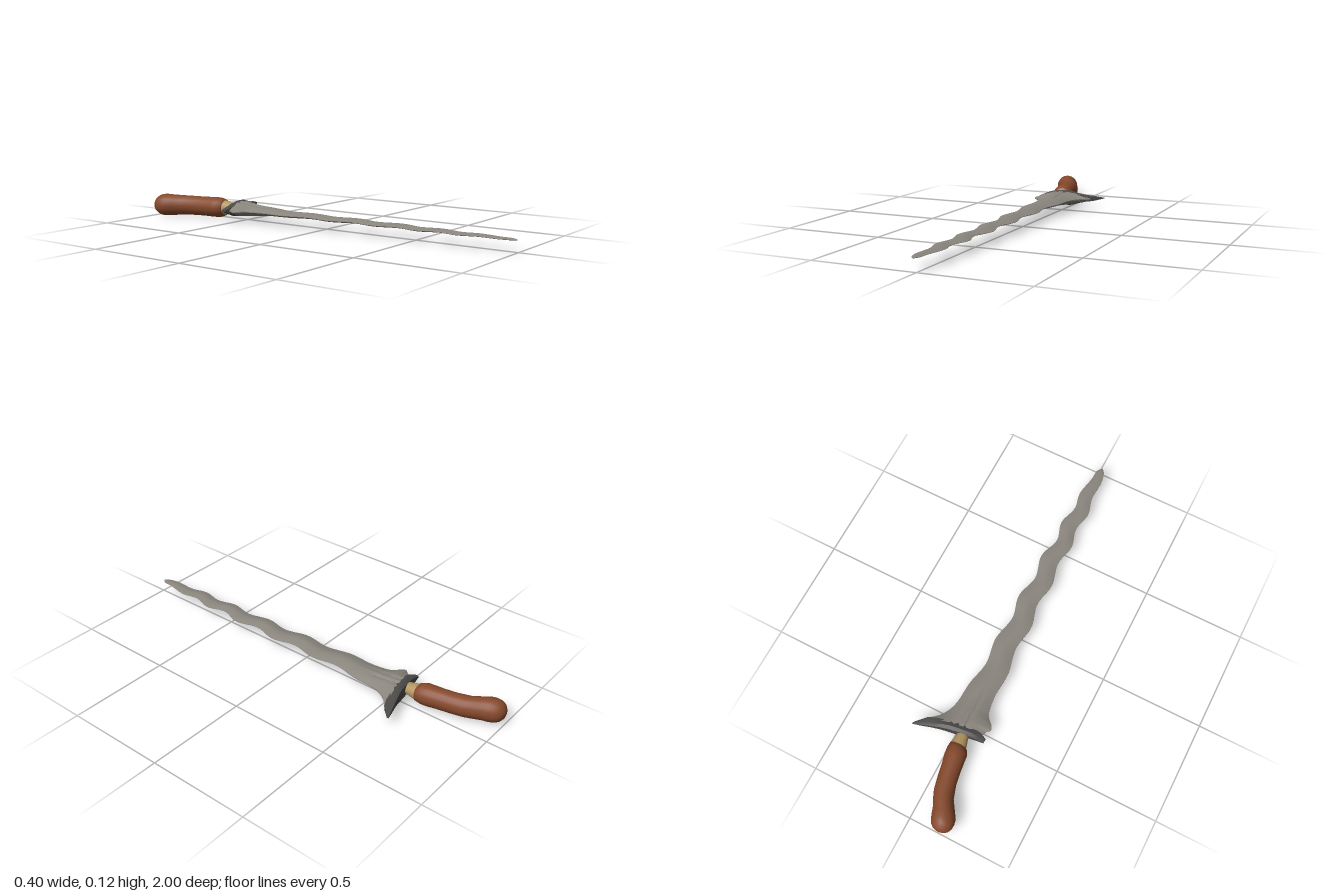
import * as THREE from 'three';
import { toCreasedNormals } from 'three/addons/utils/BufferGeometryUtils.js';

const MID = 0.0575; // height of the flat middle plane

const mat = (name, color, side = THREE.FrontSide) => {
  const m = new THREE.MeshStandardMaterial({ color, side });
  m.name = name;
  return m;
};

// Skins a list of equal-length rings of [x, y, z] and caps both ends
function loft(rings, crease) {
  const n = rings[0].length, pos = rings.flat(2), idx = [];
  for (let i = 0; i < rings.length - 1; i++) {
    for (let j = 0; j < n; j++) {
      const a = i * n + j, b = i * n + (j + 1) % n;
      idx.push(a, b, a + n, b, b + n, a + n);
    }
  }
  [0, rings.length - 1].forEach((r, end) => {
    const c = pos.length / 3;
    for (let k = 0; k < 3; k++) pos.push(rings[r].reduce((s, p) => s + p[k], 0) / n);
    for (let j = 0; j < n; j++) {
      const a = r * n + j, b = r * n + (j + 1) % n;
      if (end) idx.push(c, a, b);
      else idx.push(c, b, a);
    }
  });
  const g = new THREE.BufferGeometry();
  g.setAttribute('position', new THREE.Float32BufferAttribute(pos, 3));
  g.setIndex(idx);
  return toCreasedNormals(g, crease);
}

const spline = (rows) => new THREE.CatmullRomCurve3(rows.map((r) => new THREE.Vector3(...r)), false, 'catmullrom', 0.5);

// Wavy blade: [z, left edge x, right edge x, half thickness, slant, ridge x]
function bladeGeometry() {
  const rows = [
    [-0.535, -0.125, 0.14, 0.038, 0.16, -0.025],
    [-0.515, -0.128, 0.105, 0.038, 0.13, -0.025],
    [-0.49, -0.145, 0.08, 0.036, 0.06, -0.025],
    [-0.46, -0.138, 0.065, 0.033, 0, -0.022],
    [-0.415, -0.1, 0.056, 0.028, 0, -0.02],
    [-0.32, -0.086, 0.05, 0.021, 0, -0.018],
    [-0.2, -0.091, 0.027, 0.016, 0, -0.032],
    [-0.07, -0.066, 0.045, 0.014, 0, -0.01],
    [0.06, -0.082, 0.022, 0.013, 0, -0.03],
    [0.18, -0.054, 0.047, 0.012, 0, -0.003],
    [0.3, -0.073, 0.019, 0.011, 0, -0.027],
    [0.42, -0.048, 0.045, 0.0105, 0, -0.002],
    [0.53, -0.068, 0.014, 0.01, 0, -0.027],
    [0.63, -0.045, 0.038, 0.009, 0, -0.004],
    [0.73, -0.063, 0.013, 0.008, 0, -0.025],
    [0.82, -0.042, 0.027, 0.007, 0, -0.007],
    [0.92, -0.045, 0.01, 0.006, 0, -0.017],
    [0.975, -0.034, 0.006, 0.005, 0, -0.014],
    [1.0, -0.018, -0.012, 0.002, 0, -0.015],
  ];
  const outline = spline(rows.map((r) => r.slice(0, 3)));
  const body = spline(rows.map((r) => r.slice(3)));
  const rings = [], steps = 144, cols = 24;
  for (let i = 0; i <= steps; i++) {
    const o = outline.getPoint(i / steps), b = body.getPoint(i / steps);
    const groove = 0.2 * THREE.MathUtils.smoothstep(-o.x, 0.28, 0.4);
    const ring = [];
    for (const side of [1, -1]) {
      for (let j = 0; j <= cols; j++) {
        const u = side * (1 - 2 * j / cols);
        const x = b.z + (u > 0 ? u * (o.z - b.z) : u * (b.z - o.y));
        let h = b.x * (0.08 + 0.92 * (1 - Math.abs(u) ** 1.6));
        // Two shallow fullers near the hilt
        for (const gx of [-0.035, 0.0]) h *= 1 - groove * Math.exp(-(((x - gx) / 0.008) ** 2));
        ring.push([x, MID + side * h, o.x - b.y * x]);
      }
    }
    rings.push(ring);
  }
  return loft(rings, 0.6);
}

// Slanted guard plate: [x, back z, front z, half thickness]
function guardGeometry() {
  const rows = [
    [-0.142, -0.55, -0.528, 0.005],
    [-0.11, -0.552, -0.515, 0.019],
    [-0.07, -0.556, -0.515, 0.034],
    [-0.02, -0.563, -0.523, 0.04],
    [0.03, -0.571, -0.53, 0.038],
    [0.07, -0.58, -0.538, 0.027],
    [0.11, -0.592, -0.546, 0.018],
    [0.145, -0.604, -0.562, 0.014],
    [0.195, -0.62, -0.611, 0.002],
  ];
  // Six-sided section, widest toward the blade
  const section = [[1, 0.8], [0.4, 1], [0, 0.75], [0, -0.75], [0.4, -1], [1, -0.8]];
  return loft(rows.map(([x, zb, zf, h]) =>
    section.map(([t, s]) => [x, MID - s * h, zb + (zf - zb) * t]).reverse().map(([a, y, z]) => [a, 2 * MID - y, z]).reverse()
      .map(([a, y, z]) => [a, 2 * MID - y, z])), 0.5);
}

// Round section swept along z: [z, centre x, x radius, y radius]
function gripGeometry(rows, sides = 20) {
  return loft(rows.map(([z, cx, rx, ry]) => Array.from({ length: sides }, (_, j) => {
    const a = j / sides * Math.PI * 2;
    return [cx + Math.cos(a) * rx, MID + Math.sin(a) * ry, z];
  })), 0.9);
}

export function createModel() {
  const steel = mat('blade steel', 0x8a867e, THREE.DoubleSide);
  const iron = mat('dark iron', 0x4c4b49, THREE.DoubleSide);
  const wood = mat('brown wood', 0x86492c);
  const brass = mat('pale brass', 0xb39660);

  const model = new THREE.Group();
  const add = (name, geometry, material) => {
    const mesh = new THREE.Mesh(geometry, material);
    mesh.name = name;
    model.add(mesh);
  };

  add('blade', bladeGeometry(), steel);
  add('guard', guardGeometry(), iron);
  add('ferrule', gripGeometry([
    [-0.625, -0.046, 0.04, 0.039],
    [-0.61, -0.045, 0.039, 0.038],
    [-0.555, -0.041, 0.027, 0.027],
  ]), brass);
  // Bent wooden grip ending in a rounded pommel
  add('handle', gripGeometry([
    [-1.0, -0.148, 0.008, 0.008],
    [-0.995, -0.148, 0.026, 0.026],
    [-0.982, -0.148, 0.043, 0.043],
    [-0.963, -0.147, 0.053, 0.053],
    [-0.94, -0.143, 0.058, 0.0575],
    [-0.915, -0.136, 0.059, 0.056],
    [-0.88, -0.115, 0.056, 0.053],
    [-0.84, -0.093, 0.051, 0.051],
    [-0.78, -0.076, 0.048, 0.05],
    [-0.72, -0.065, 0.048, 0.05],
    [-0.67, -0.056, 0.051, 0.052],
    [-0.64, -0.053, 0.051, 0.051],
    [-0.615, -0.048, 0.044, 0.043],
    [-0.608, -0.046, 0.036, 0.036],
  ]), wood);
  return model;
}
